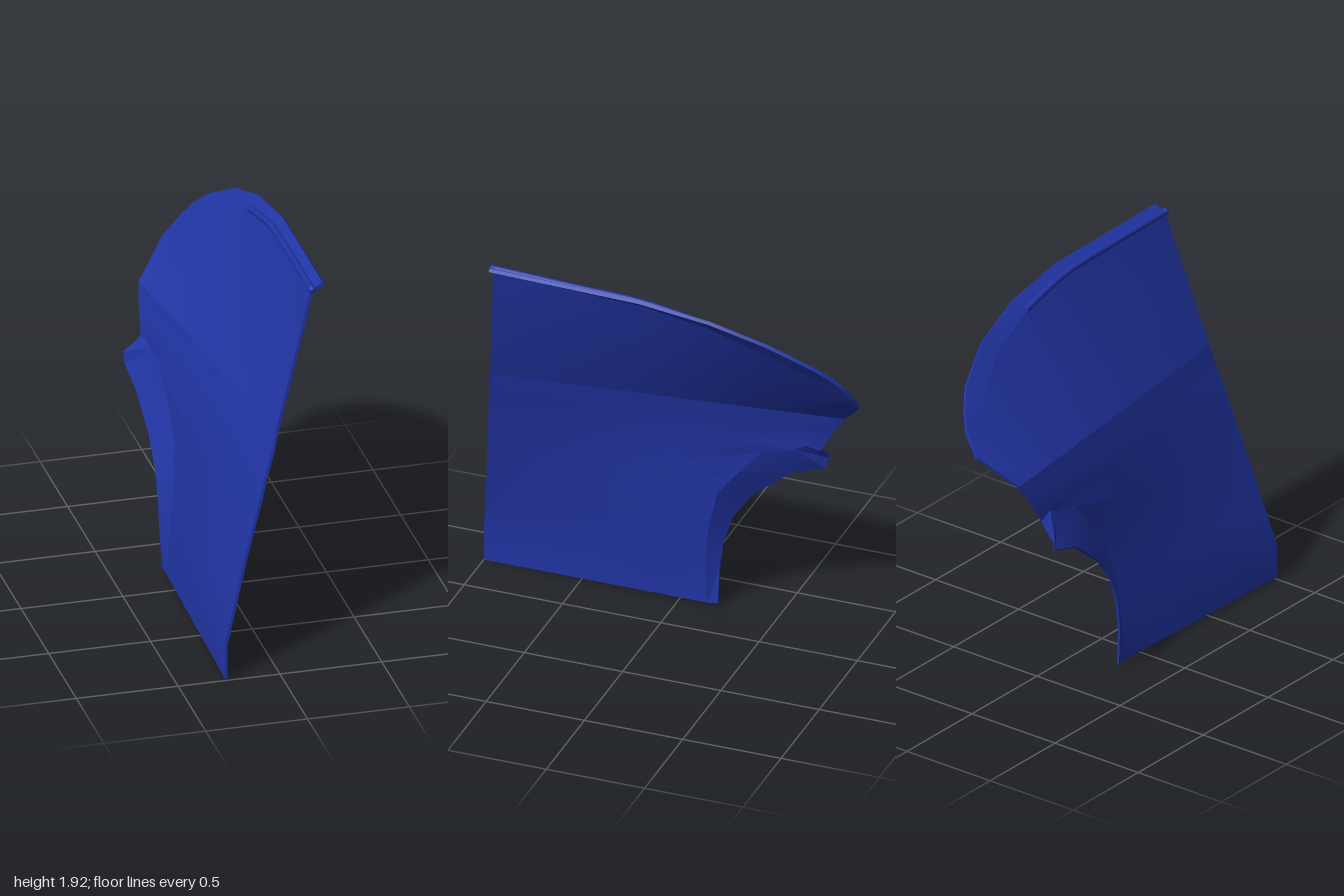
import * as THREE from 'three';
import { toCreasedNormals } from 'three/addons/utils/BufferGeometryUtils.js';

const V = (a) => new THREE.Vector3(...a);
const mix = (a, b, t) => a.clone().lerp(b, t);

// Thin sheet from rows of points (rows go up, columns go front to back), closed by a rim
function sheet(rows) {
  const pos = [];
  const outer = rows.map((r) => r.map((p) => p.clone().add(V([-0.006, 0.003, 0]))));
  const inner = rows.map((r) => r.map((p) => p.clone().add(V([0.007, -0.009, 0]))));
  const quad = (a, b, c, d) => [a, b, c, a, c, d].forEach((p) => pos.push(p.x, p.y, p.z));
  const nr = rows.length - 1, nc = rows[0].length - 1;
  for (let i = 0; i < nr; i++) {
    for (let j = 0; j < nc; j++) {
      quad(outer[i][j], outer[i + 1][j], outer[i + 1][j + 1], outer[i][j + 1]);
      quad(inner[i][j], inner[i][j + 1], inner[i + 1][j + 1], inner[i + 1][j]);
    }
    quad(outer[i][0], inner[i][0], inner[i + 1][0], outer[i + 1][0]);
    quad(outer[i][nc], outer[i + 1][nc], inner[i + 1][nc], inner[i][nc]);
  }
  for (let j = 0; j < nc; j++) {
    quad(outer[0][j], outer[0][j + 1], inner[0][j + 1], inner[0][j]);
    quad(outer[nr][j], inner[nr][j], inner[nr][j + 1], outer[nr][j + 1]);
  }
  const g = new THREE.BufferGeometry();
  g.setAttribute('position', new THREE.Float32BufferAttribute(pos, 3));
  return toCreasedNormals(g, 0.4);
}

export function createModel() {
  const group = new THREE.Group();
  const blue = new THREE.MeshStandardMaterial({ color: 0x2135a5, side: THREE.DoubleSide });
  blue.name = 'deep blue';
  const add = (name, geo) => {
    const m = new THREE.Mesh(geo, blue);
    m.name = name;
    group.add(m);
  };

  // Lower panel: front edge, inner fold and outer lip of the arch for each row
  const lower = [
    [[-0.265, 0.0, 1], [-0.245, 0.012, -0.14], [-0.25, 0.015, -0.195]],
    [[-0.265, 0.18, 1], [-0.228, 0.2, -0.14], [-0.26, 0.2, -0.2]],
    [[-0.21, 0.38, 0.97], [-0.205, 0.42, -0.16], [-0.262, 0.35, -0.22]],
    [[-0.15, 0.6, 0.94], [-0.18, 0.66, -0.22], [-0.263, 0.5, -0.27]],
    [[-0.105, 0.75, 0.92], [-0.18, 0.8, -0.33], [-0.267, 0.64, -0.37]],
    [[-0.06, 0.9, 0.9], [-0.185, 0.93, -0.45], [-0.28, 0.79, -0.56]],
    [[-0.04, 0.98, 0.89], [-0.195, 0.97, -0.61], [-0.288, 0.845, -0.73]],
    [[-0.02, 1.04, 0.88], [-0.2, 1.0, -0.66], [-0.293, 0.9, -0.745]],
    [[0.0, 1.1, 0.87], [-0.2, 1.05, -0.69], [-0.21, 0.98, -0.73]],
    [[0.012, 1.15, 0.862], [-0.185, 1.12, -0.75], [-0.195, 1.13, -0.82]],
    [[0.025, 1.2, 0.855], [-0.172, 1.2, -0.8], [-0.18, 1.2, -0.87]],
  ].map(([f, i, e]) => {
    const F = V(f), I = V(i);
    return [F, mix(F, I, 0.35), mix(F, I, 0.7), I, V(e)];
  });
  add('lowerPanel', sheet(lower));

  // Upper panel: crease position, inner rim and outer rim of the top lip
  const rim = [
    [0, [0.22, 1.875, 0.765], [0.28, 1.91, 0.765]],
    [0.4, [0.225, 1.85, 0], [0.286, 1.897, 0]],
    [0.6, [0.21, 1.79, -0.32], [0.268, 1.845, -0.35]],
    [0.75, [0.18, 1.69, -0.58], [0.228, 1.755, -0.63]],
    [0.85, [0.1, 1.57, -0.79], [0.155, 1.63, -0.85]],
    [0.9, [0.06, 1.5, -0.87], [0.1, 1.55, -0.93]],
    [0.94, [0.02, 1.43, -0.92], [0.05, 1.465, -0.98]],
    [0.97, [-0.04, 1.35, -0.96], [-0.03, 1.36, -1]],
    [1, [-0.179, 1.202, -0.871], [-0.178, 1.204, -0.872]],
  ];
  const start = V([0.025, 1.2, 0.855]), end = V([-0.18, 1.2, -0.87]);
  const crease = rim.map(([s]) => mix(start, end, s));
  const innerRim = rim.map((r) => V(r[1]));
  const outerRim = rim.map((r) => V(r[2]));
  add('upperPanel', sheet([crease, crease.map((p, i) => mix(p, innerRim[i], 0.5)), innerRim]));
  add('topLip', sheet([innerRim, outerRim]));

  // Rolled bead along the fold of the top lip
  const path = new THREE.CatmullRomCurve3([
    V([0.22, 1.885, 0.775]), V([0.226, 1.872, 0.35]), V([0.226, 1.858, 0]), V([0.212, 1.797, -0.32]),
  ]);
  add('edgeBead', new THREE.TubeGeometry(path, 16, 0.017, 8));
  const cap = new THREE.SphereGeometry(0.019, 10, 8);
  cap.translate(0.22, 1.885, 0.767);
  add('beadEnd', cap);
  return group;
}
